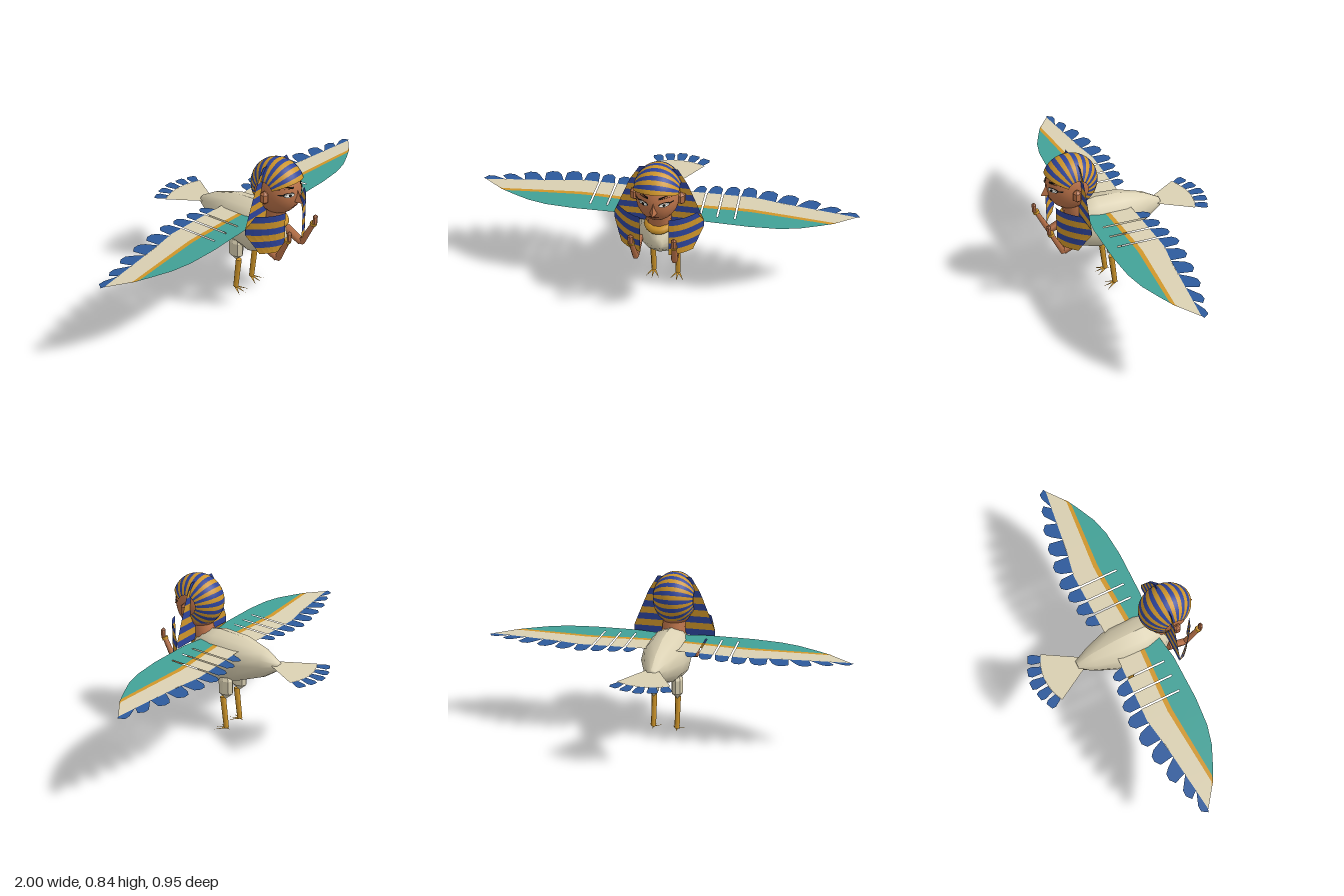
import * as THREE from 'three';
import { mergeGeometries } from 'three/addons/utils/BufferGeometryUtils.js';

const paint = (name, color) => Object.assign(new THREE.MeshStandardMaterial({ color, side: THREE.DoubleSide }), { name });

// Piecewise-linear lookup in a short [[x, value], ...] table
function lookup(table, x) {
  if (x <= table[0][0]) return table[0][1];
  for (let i = 1; i < table.length; i++) {
    const [x0, v0] = table[i - 1], [x1, v1] = table[i];
    if (x <= x1) return v0 + (v1 - v0) * (x - x0) / (x1 - x0);
  }
  return table[table.length - 1][1];
}

// Flat faces from a list of convex polygons, wound as fans
function polygons(list) {
  const pos = [];
  for (const p of list)
    for (let i = 1; i < p.length - 1; i++) pos.push(...p[0], ...p[i], ...p[i + 1]);
  const g = new THREE.BufferGeometry();
  g.setAttribute('position', new THREE.Float32BufferAttribute(pos, 3));
  g.computeVertexNormals();
  return g;
}

// Closed loft along z through elliptical sections [z, centreY, radiusX, radiusY]
function loft(sections, sides) {
  const g = new THREE.CylinderGeometry(1, 1, 1, sides, sections.length + 1, true);
  const p = g.attributes.position, last = sections.length - 1;
  for (let j = 0; j <= last + 2; j++) {
    const [z, cy, rx, ry] = sections[Math.min(Math.max(j - 1, 0), last)];
    const k = j === 0 || j === last + 2 ? 0 : 1; // collapsed rings close the ends
    for (let i = 0; i <= sides; i++) {
      const a = i / sides * Math.PI * 2;
      p.setXYZ(j * (sides + 1) + i, Math.sin(a) * rx * k, cy + Math.cos(a) * ry * k, z);
    }
  }
  g.computeVertexNormals();
  return g;
}

function limb(a, b, r0, r1, sides) {
  const A = new THREE.Vector3(...a), B = new THREE.Vector3(...b), d = B.clone().sub(A);
  const g = new THREE.CylinderGeometry(r1, r0, d.length(), sides).rotateY(Math.PI / sides);
  g.applyQuaternion(new THREE.Quaternion().setFromUnitVectors(new THREE.Vector3(0, 1, 0), d.normalize()));
  const m = A.add(B).multiplyScalar(0.5);
  return g.translate(m.x, m.y, m.z).toNonIndexed();
}
const flat = g => { g.computeVertexNormals(); return g; };

export function createModel() {
  const root = new THREE.Group();
  const cream = paint('cream plumage', 0xdad0b2), skin = paint('skin', 0xba7249), gold = paint('gold', 0xd0962a),
    blue = paint('royal blue', 0x2e449c), tipBlue = paint('feather blue', 0x2d5a9c), teal = paint('teal', 0x42a197),
    black = paint('black', 0x14120f), white = paint('eye white', 0xe6e6e0), lip = paint('lip', 0x7c3f2a);
  const add = (name, geo, mat, parent = root) => {
    const m = new THREE.Mesh(geo, mat);
    m.name = name;
    parent.add(m);
    return m;
  };

  // Body, neck and collar
  add('body', loft([[0.345, 0.395, 0.03, 0.035], [0.275, 0.412, 0.105, 0.122], [0.165, 0.405, 0.126, 0.15],
    [0.02, 0.415, 0.118, 0.125], [-0.12, 0.42, 0.067, 0.077], [-0.205, 0.423, 0.025, 0.023]], 12), cream);
  add('neck', limb([0, 0.48, 0.265], [0, 0.61, 0.3], 0.068, 0.062, 12), skin);
  const collar = add('collar', new THREE.TorusGeometry(0.05, 0.024, 8, 20), gold);
  collar.position.set(0, 0.488, 0.288);
  collar.rotation.x = Math.PI / 2 + 0.2;

  // Head
  const head = new THREE.Group();
  head.name = 'head';
  root.add(head);
  const C = [0, 0.677, 0.3], R = [0.11, 0.135, 0.128];
  add('face', new THREE.SphereGeometry(1, 24, 16).scale(...R).translate(...C), skin, head);
  add('nose', polygons([
    [[0, 0.71, 0.422], [-0.022, 0.645, 0.415], [0, 0.64, 0.46]],
    [[0, 0.71, 0.422], [0, 0.64, 0.46], [0.022, 0.645, 0.415]],
    [[0, 0.64, 0.46], [-0.022, 0.645, 0.415], [0.022, 0.645, 0.415]]]), skin, head);

  // Painted outline laid on the curve of the face
  const onFace = (pts, lift) => polygons([pts.map(([x, y]) => {
    const u = x / R[0], v = (y - C[1]) / R[1];
    return [x, y, C[2] + R[2] * Math.sqrt(Math.max(0, 1 - u * u - v * v)) + lift];
  })]);
  const almond = (x, y, w, h) => [0, 1, 2, 3, 4, 5, 6, 7].map(i =>
    [x + w * Math.cos(i * Math.PI / 4), y + h * Math.sin(i * Math.PI / 4)]);
  for (const s of [1, -1]) {
    const flip = pts => pts.map(([x, y]) => [x * s, y]);
    add('eyeLiner', onFace(flip(almond(0.052, 0.694, 0.028, 0.014)), 0.003), black, head);
    add('eyeLinerTail', onFace(flip([[0.07, 0.698], [0.07, 0.69], [0.092, 0.692], [0.092, 0.699]]), 0.004), black, head);
    add('eye', onFace(flip(almond(0.052, 0.694, 0.024, 0.010)), 0.006), white, head);
    add('pupil', onFace(flip(almond(0.052, 0.694, 0.007, 0.008)), 0.008), black, head);
    add('eyebrow', onFace(flip([[0.025, 0.724], [0.055, 0.726], [0.09, 0.721], [0.088, 0.728], [0.055, 0.737], [0.025, 0.733]]), 0.006), black, head);
    const ear = add('ear', flat(new THREE.LatheGeometry([[0, -0.038], [0.022, -0.02], [0.022, 0.02], [0, 0.038]]
      .map(p => new THREE.Vector2(...p)), 6).toNonIndexed()), skin, head);
    ear.position.set(0.117 * s, 0.67, 0.308);
  }
  add('mouth', onFace(almond(0, 0.615, 0.028, 0.007), 0.003), lip, head);

  // Headcloth cap: striped wedges around the x axis
  const stripes = 23, from = 24.5, to = 250, step = (to - from) / stripes;
  const wedges = [[], []];
  for (let i = 0; i < stripes; i++) {
    const phi = THREE.MathUtils.degToRad(90 - from - step * (i + 1));
    wedges[i % 2].push(new THREE.SphereGeometry(1, 2, 14, phi, THREE.MathUtils.degToRad(step), 0.394, Math.PI - 0.788)
      .rotateZ(-Math.PI / 2).scale(0.122, 0.144, 0.144).translate(0, 0.695, 0.3));
  }
  add('capGold', mergeGeometries(wedges[0]), gold, head);
  add('capBlue', mergeGeometries(wedges[1]), blue, head);

  // Headcloth side flares and curved front lappets, in level bands
  const outer = [[0.385, 0.185], [0.51, 0.237], [0.6, 0.2], [0.735, 0.145], [0.815, 0.095]];
  const bend = x => 0.41 - 0.13 * ((x - 0.05) / 0.18) ** 2;
  const cloth = { lappet: [[], []], flare: [[], []] };
  for (const s of [1, -1]) for (let k = -6; k < 6; k++) {
    const y0 = 0.6 + 0.036 * k, y1 = y0 + 0.036, o0 = lookup(outer, y0), o1 = lookup(outer, y1), c = Math.abs(k % 2);
    if (k < 0) for (let i = 0; i < 6; i++) {
      const at = (y, o, t) => { const x = 0.072 + (o - 0.072) * t; return [s * x, y, bend(x)]; };
      cloth.lappet[c].push([at(y0, o0, i / 6), at(y0, o0, (i + 1) / 6), at(y1, o1, (i + 1) / 6), at(y1, o1, i / 6)]);
    }
    if (k >= -3) cloth.flare[c].push([[s * 0.05, y0, 0.28], [s * o0, y0, 0.28], [s * o1, y1, 0.28], [s * 0.05, y1, 0.28]]);
  }
  for (const part in cloth) {
    add(part + 'Gold', polygons(cloth[part][0]), gold, head);
    add(part + 'Blue', polygons(cloth[part][1]), blue, head);
  }

  // Wings: teal coverts, gold band, cream vanes with slits, blue feather tips
  const lead = [[0.07, 0.24], [0.2, 0.26], [0.45, 0.262], [0.6, 0.25], [0.7, 0.225], [0.8, 0.18], [0.87, 0.145], [0.985, 0.06]];
  const tealEdge = [[0.07, 0.145], [0.43, 0.125], [0.87, 0.155]];
  const goldEdge = [[0.07, 0.12], [0.43, 0.1], [0.88, 0.137]];
  const trail = [[0.07, -0.005], [0.45, -0.015], [0.6, 0.012], [0.8, 0.037], [0.985, 0.06]];
  const columns = [0.07, 0.195, 0.204, 0.281, 0.29, 0.371, 0.38, 0.45, 0.53, 0.6, 0.65, 0.7, 0.75, 0.8, 0.84, 0.87, 0.9, 0.985];
  const edges = x => {
    const l = lookup(lead, x);
    return [l, Math.min(l, lookup(tealEdge, x)), Math.min(l, lookup(goldEdge, x)), Math.min(l, lookup(trail, x))];
  };
  // Feather tips: inner x, outer x, tip x, tip z
  const tips = [[0.13, 0.193, 0.17, -0.072], [0.206, 0.279, 0.25, -0.086], [0.292, 0.369, 0.338, -0.096], [0.382, 0.462, 0.425, -0.106],
    [0.47, 0.565, 0.53, -0.094], [0.57, 0.67, 0.64, -0.075], [0.675, 0.775, 0.755, -0.05], [0.78, 0.875, 0.865, -0.012], [0.88, 0.98, 0.965, 0.022]];
  for (const s of [1, -1]) {
    const wing = new THREE.Group();
    wing.name = s > 0 ? 'leftWing' : 'rightWing';
    root.add(wing);
    const at = (x, z) => [s * x, 0.505 - 0.055 * (0.27 - z) - 0.012 * x * x, z];
    const bands = [[], [], []];
    for (let i = 0; i < columns.length - 1; i++) {
      const a = columns[i], b = columns[i + 1], ea = edges(a), eb = edges(b);
      const slit = b - a < 0.01;
      for (let j = 0; j < (slit ? 1 : 3); j++)
        bands[j].push([at(a, ea[j]), at(b, eb[j]), at(b, slit ? 0.205 : eb[j + 1]), at(a, slit ? 0.205 : ea[j + 1])]);
    }
    [['coverts', teal], ['goldBand', gold], ['vanes', cream]].forEach(([n, m], j) => add(n, polygons(bands[j]), m, wing));
    add('featherTips', polygons(tips.map(([a, b, tx, tz]) => {
      const za = lookup(trail, a), zb = lookup(trail, b), w = (b - a) / 2, zs = tz + 0.022;
      return [at(a, za), at(b, zb), at(Math.min(tx + w * 0.85, 1), zs + (b > 0.9 ? 0.01 : 0)), at(tx + w * 0.3, tz), at(tx - w * 0.35, tz), at(tx - w * 0.85, zs)];
    })), tipBlue, wing);
  }

  // Tail fan with five blue tips
  const tailAt = (x, z) => [x, 0.437 + 0.055 * (z + 0.1), z];
  const fan = [], fanTips = [];
  for (let i = -2; i <= 2; i++) {
    const a = i * 0.215;
    const ray = (ang, r) => tailAt(Math.sin(ang) * r, -0.12 - Math.cos(ang) * r);
    const r0 = 0.272, r1 = 0.352 - Math.abs(i) * 0.006;
    fan.push([ray(a - 0.1075, 0.04), ray(a + 0.1075, 0.04), ray(a + 0.1075, r0), ray(a - 0.1075, r0)]);
    fanTips.push([ray(a - 0.07, r0), ray(a + 0.07, r0), ray(a + 0.088, r1 - 0.02), ray(a + 0.06, r1), ray(a - 0.06, r1), ray(a - 0.088, r1 - 0.02)]);
  }
  add('tailFan', polygons(fan), cream);
  add('tailTips', polygons(fanTips), tipBlue);

  // Arms raised in front, and bird legs
  for (const s of [1, -1]) {
    const side = s > 0 ? 'left' : 'right';
    add(side + 'UpperArm', limb([s * 0.1, 0.388, 0.285], [s * 0.1, 0.342, 0.388], 0.024, 0.02, 4), skin);
    add(side + 'Forearm', limb([s * 0.1, 0.338, 0.388], [s * 0.108, 0.475, 0.455], 0.018, 0.013, 6), skin);
    add(side + 'Bracelet', limb([s * 0.107, 0.466, 0.451], [s * 0.108, 0.48, 0.456], 0.018, 0.018, 8), gold);
    const hand = add(side + 'Hand', flat(new THREE.LatheGeometry([[0, -0.03], [0.011, -0.022], [0.012, 0.018], [0, 0.032]]
      .map(p => new THREE.Vector2(...p)), 6).toNonIndexed()), skin);
    hand.position.set(s * 0.108, 0.5, 0.463);
    hand.scale.x = 1.3;
    const thigh = add(side + 'Thigh', flat(new THREE.LatheGeometry([[0, 0.187], [0.043, 0.225], [0.043, 0.3], [0.03, 0.32], [0, 0.328]]
      .map(p => new THREE.Vector2(...p)), 8).toNonIndexed()), cream);
    thigh.position.set(s * 0.067, 0, 0.085);
    thigh.scale.x = 0.75;
    add(side + 'Shin', limb([s * 0.067, 0.012, 0.084], [s * 0.067, 0.195, 0.104], 0.014, 0.016, 6), gold);
    const toes = [-0.55, 0, 0.55].map(a => {
      const dx = Math.sin(a), dz = Math.cos(a), x = s * 0.067, z = 0.08, w = 0.008;
      return [[x - dz * w, 0.012, z + dx * w], [x + dz * w, 0.012, z - dx * w], [x + dx * 0.073, 0.0, z + dz * 0.073]];
    });
    toes.push([[s * 0.067 - 0.007, 0.012, 0.085], [s * 0.067 + 0.007, 0.012, 0.085], [s * 0.067, 0.004, 0.06]]);
    add(side + 'Toes', polygons(toes), gold);
  }
  return root;
}
